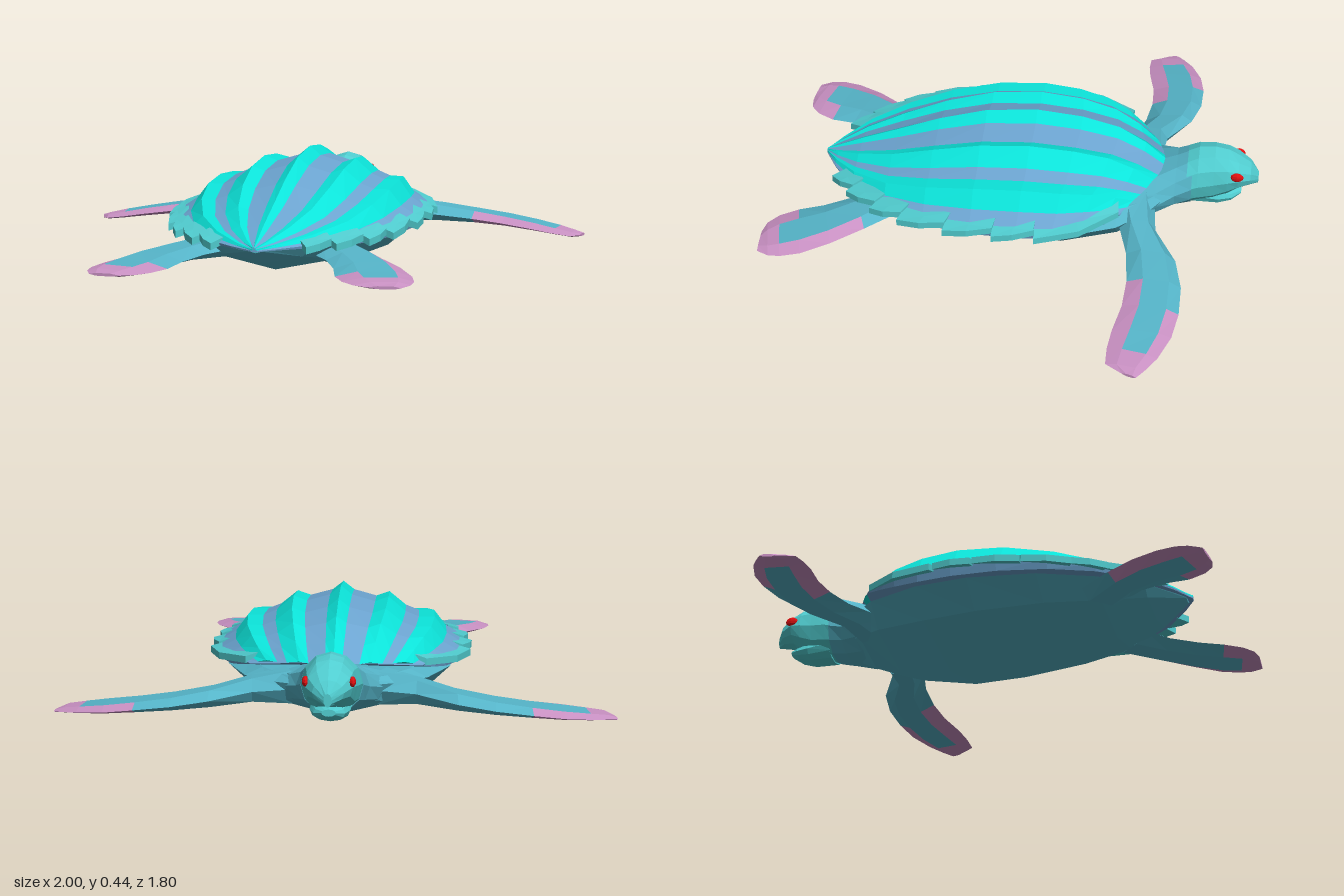
import * as THREE from 'three';

const mat = (name, color) => {
  const m = new THREE.MeshStandardMaterial({ color, flatShading: true });
  m.name = name;
  return m;
};

export function createModel() {
  const model = new THREE.Group();
  model.name = 'seaTurtle';
  const TEAL = 0, BLUE = 1, SKIN = 2, HEAD = 3, PINK = 4;
  const mats = [
    mat('shellTeal', 0x0ce4da), mat('shellBlue', 0x6ca4d0), mat('skin', 0x55b4c8),
    mat('headTeal', 0x50cccf), mat('flipperPink', 0xc890c2),
  ];
  const eyeMat = mat('eyeRed', 0xe01010);

  // Closed loft through rings of [x, y, z]; paint(row, column) picks the material
  function loft(name, rings, paint, side = 1) {
    const buckets = mats.map(() => []);
    let volume = 0;
    const pts = rings.map(r => r.map(p => new THREE.Vector3(p[0] * side, p[1], p[2])));
    const n = pts[0].length, last = pts.length - 1;
    const tri = (a, b, c, k) => {
      volume += a.dot(new THREE.Vector3().crossVectors(b, c));
      buckets[k].push([a, b, c]);
    };
    for (let i = 0; i < last; i++) for (let j = 0; j < n; j++) {
      const k = (j + 1) % n, col = paint(i, j);
      tri(pts[i][j], pts[i + 1][j], pts[i + 1][k], col);
      tri(pts[i][j], pts[i + 1][k], pts[i][k], col);
    }
    for (const end of [0, last]) {
      const mid = new THREE.Vector3();
      pts[end].forEach(p => mid.addScaledVector(p, 1 / n));
      for (let j = 0; j < n; j++) {
        const a = pts[end][j], b = pts[end][(j + 1) % n];
        const col = paint(Math.min(end, last - 1), j);
        if (end) tri(mid, b, a, col); else tri(mid, a, b, col);
      }
    }
    // Turn all faces outward, then group them by colour
    const pos = [], geo = new THREE.BufferGeometry();
    buckets.forEach((tris, k) => {
      if (!tris.length) return;
      geo.addGroup(pos.length / 3, tris.length * 3, k);
      for (const [a, b, c] of tris)
        for (const p of volume < 0 ? [a, c, b] : [a, b, c]) pos.push(p.x, p.y, p.z);
    });
    geo.setAttribute('position', new THREE.Float32BufferAttribute(pos, 3));
    geo.computeVertexNormals();
    const mesh = new THREE.Mesh(geo, mats);
    mesh.name = name;
    model.add(mesh);
  }

  // Ridged shell: rows of [z, half width, top y, rim y, backward sweep of the edge]
  const shellRows = [
    [-0.56, 0.32, 0.255, 0.22, 0.15], [-0.48, 0.365, 0.325, 0.215, 0.125],
    [-0.38, 0.405, 0.385, 0.21, 0.1], [-0.24, 0.44, 0.42, 0.205, 0.06],
    [-0.07, 0.455, 0.435, 0.205, 0.02], [0.12, 0.45, 0.415, 0.2, 0],
    [0.3, 0.415, 0.36, 0.19, 0], [0.46, 0.345, 0.295, 0.18, 0],
    [0.6, 0.225, 0.24, 0.175, 0], [0.69, 0.1, 0.2, 0.17, 0], [0.74, 0.01, 0.18, 0.165, 0],
  ];
  const half = [[0, 1], [0.09, 0.85], [0.28, 0.74], [0.39, 0.82], [0.53, 0.58],
    [0.64, 0.49], [0.77, 0.49], [0.87, 0.22], [1, 0.06]];
  const profile = [...half.slice(1).reverse().map(([u, h]) => [-u, h]), ...half, [0.97, -0.15], [-0.97, -0.15]];
  const bands = [TEAL, BLUE, TEAL, TEAL, BLUE, TEAL, TEAL, BLUE];
  loft('shell', shellRows.map(([z, w, top, rim, sweep]) =>
    profile.map(([u, h]) => [u * w, rim + h * (top - rim), z + sweep * Math.abs(u) ** 1.4])),
  (i, j) => j < 8 ? bands[7 - j] : j < 16 ? bands[j - 8] : BLUE);

  // Saw-toothed scutes along the shell rim, each ending in a backward tip
  const rim = new THREE.CatmullRomCurve3(
    shellRows.map(([z, w, , y, s]) => new THREE.Vector3(w, y, z + s)));
  const cuts = [0.0, 0.24, 0.35, 0.48, 0.61, 0.7, 0.8, 0.88];
  for (let i = 0; i < cuts.length - 1; i++) {
    const a = rim.getPointAt(cuts[i]), m = rim.getPointAt((cuts[i] + cuts[i + 1]) / 2);
    const b = rim.getPointAt(cuts[i + 1]), d = rim.getTangentAt(cuts[i + 1]);
    const off = (p, out, up) => [p.x + d.z * out, p.y + up, p.z - d.x * out];
    const shape = [off(a, -0.04, 0.035), off(a, 0.005, 0.02), off(m, 0.028, 0.012),
      off(b, 0.035, 0.005), off(b, -0.04, 0.025)];
    for (const side of [1, -1])
      loft('rimScute', [shape, shape.map(([x, y, z]) => [x, y - 0.025, z])], () => HEAD, side);
  }

  // Keeled belly: rows of [z, half width, keel y, top y]
  const bodyRows = [
    [-0.58, 0.12, 0.09, 0.2], [-0.5, 0.24, 0.05, 0.2], [-0.4, 0.33, 0.025, 0.2],
    [-0.2, 0.41, 0.0, 0.2], [0, 0.42, 0.01, 0.2], [0.25, 0.38, 0.03, 0.195],
    [0.45, 0.3, 0.05, 0.185], [0.6, 0.18, 0.1, 0.18], [0.72, 0.03, 0.155, 0.172],
  ];
  loft('belly', bodyRows.map(([z, w, yb, yt]) => {
    const ym = yb + (yt - yb) * 0.36, ys = yb + (yt - yb) * 0.82;
    return [[0, yb, z], [0.76 * w, ym, z], [w, ys, z], [0.8 * w, yt, z],
      [-0.8 * w, yt, z], [-w, ys, z], [-0.76 * w, ym, z]];
  }), () => SKIN);

  // Neck, head and jaw: rows of [z, half width, top y, bottom y]
  const roundRings = rows => rows.map(([z, w, top, bottom]) =>
    Array.from({ length: 12 }, (_, k) => {
      const a = k * Math.PI / 6;
      return [Math.sin(a) * w, (top + bottom) / 2 + Math.cos(a) * (top - bottom) / 2, z];
    }));
  loft('neck', roundRings([[-0.44, 0.22, 0.23, 0.1], [-0.53, 0.18, 0.25, 0.075],
    [-0.6, 0.13, 0.28, 0.085], [-0.66, 0.11, 0.312, 0.095]]), () => SKIN);
  loft('head', roundRings([[-0.64, 0.112, 0.304, 0.095], [-0.68, 0.106, 0.325, 0.1], [-0.74, 0.096, 0.332, 0.11],
    [-0.79, 0.091, 0.323, 0.14], [-0.83, 0.083, 0.302, 0.172], [-0.875, 0.055, 0.272, 0.185],
    [-0.905, 0.014, 0.232, 0.185]]), () => HEAD);
  loft('jaw', roundRings([[-0.67, 0.075, 0.2, 0.095], [-0.76, 0.07, 0.18, 0.098],
    [-0.81, 0.055, 0.168, 0.113], [-0.845, 0.025, 0.162, 0.137]]), () => HEAD);
  for (const side of [1, -1]) {
    const eye = new THREE.Mesh(new THREE.SphereGeometry(1, 8, 6), eyeMat);
    eye.name = 'eye';
    eye.scale.set(0.012, 0.018, 0.025);
    eye.position.set(side * 0.08, 0.255, -0.825);
    model.add(eye);
  }

  // Flippers: rows of [lead x, lead z, trail x, trail z, y, thickness]
  const flipperRings = rows => rows.map(([ax, az, bx, bz, y, t]) => {
    const at = (f, dy) => [ax + (bx - ax) * f, y + dy, az + (bz - az) * f];
    return [at(0, 0), at(0.22, t / 2), at(0.7, t / 2), at(1, 0), at(0.7, -t / 2), at(0.22, -t / 2)];
  });
  const frontRings = flipperRings([
    [0.14, -0.53, 0.2, -0.38, 0.15, 0.12], [0.29, -0.545, 0.3, -0.415, 0.142, 0.085],
    [0.44, -0.63, 0.42, -0.45, 0.127, 0.06], [0.57, -0.66, 0.56, -0.465, 0.113, 0.045],
    [0.7, -0.662, 0.68, -0.46, 0.1, 0.036], [0.81, -0.645, 0.8, -0.437, 0.086, 0.03],
    [0.91, -0.605, 0.88, -0.428, 0.074, 0.024], [0.97, -0.565, 0.95, -0.43, 0.065, 0.018],
    [1.0, -0.54, 0.985, -0.49, 0.06, 0.01],
  ]);
  const rearRings = flipperRings([
    [0.27, 0.38, 0.14, 0.52, 0.13, 0.07], [0.4, 0.52, 0.22, 0.6, 0.12, 0.05],
    [0.49, 0.63, 0.27, 0.7, 0.11, 0.042], [0.55, 0.73, 0.295, 0.79, 0.1, 0.036],
    [0.57, 0.8, 0.335, 0.855, 0.096, 0.03], [0.568, 0.845, 0.38, 0.89, 0.093, 0.022],
    [0.545, 0.89, 0.43, 0.9, 0.09, 0.01],
  ]);
  const isLead = j => j === 0 || j === 5, isTrail = j => j === 2 || j === 3;
  for (const side of [1, -1]) {
    loft('frontFlipper', frontRings, (i, j) =>
      i >= 6 || (isLead(j) && i >= 4) || (isTrail(j) && i >= 3) ? PINK : SKIN, side);
    loft('rearFlipper', rearRings, (i, j) =>
      i >= 4 || (isLead(j) && i >= 1) || (isTrail(j) && i >= 3) ? PINK : SKIN, side);
  }
  return model;
}
